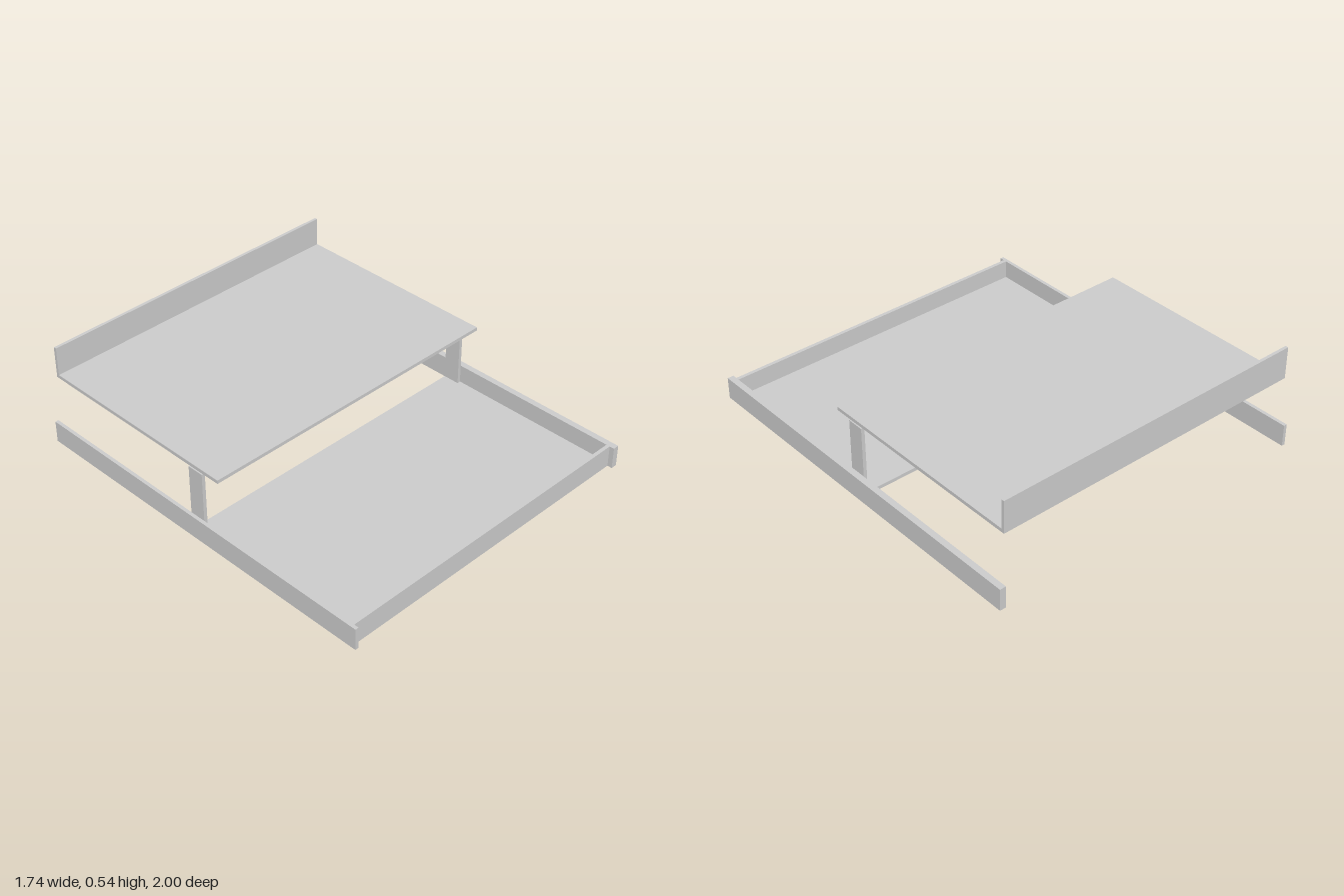
import * as THREE from 'three';

const material = new THREE.MeshStandardMaterial({ color: 0xcccccc });

// Box given by its extents on each axis
function board(name, [x0, x1], [y0, y1], [z0, z1]) {
  const geometry = new THREE.BoxGeometry(x1 - x0, y1 - y0, z1 - z0);
  const mesh = new THREE.Mesh(geometry, material);
  mesh.name = name;
  mesh.position.set((x0 + x1) / 2, (y0 + y1) / 2, (z0 + z1) / 2);
  return mesh;
}

export function createModel() {
  const group = new THREE.Group();
  group.name = 'twoLevelStand';

  const trayX = [-0.854, 0.84];
  const shelfX = [-0.847, 0.832];
  const postZ = [-0.038, 0.048];

  group.add(
    // Side rails, running the full depth
    board('rightRail', [-0.872, -0.854], [0, 0.114], [-1, 1]),
    board('leftRail', [0.84, 0.872], [0, 0.114], [-1, 1]),
    // Lower tray: floor in the front half and a front board
    board('trayFloor', trayX, [0, 0.018], [-0.038, 0.956]),
    board('trayFront', trayX, [0, 0.114], [0.956, 0.975]),
    // Posts standing on the tray floor
    board('rightPost', [-0.854, -0.836], [0.018, 0.373], postZ),
    board('leftPost', [0.821, 0.839], [0.018, 0.373], postZ),
    // Upper shelf with an upright board at its back
    board('upperShelf', shelfX, [0.373, 0.391], [-0.962, 0.143]),
    board('shelfBack', shelfX, [0.373, 0.54], [-0.978, -0.962]),
  );
  return group;
}
